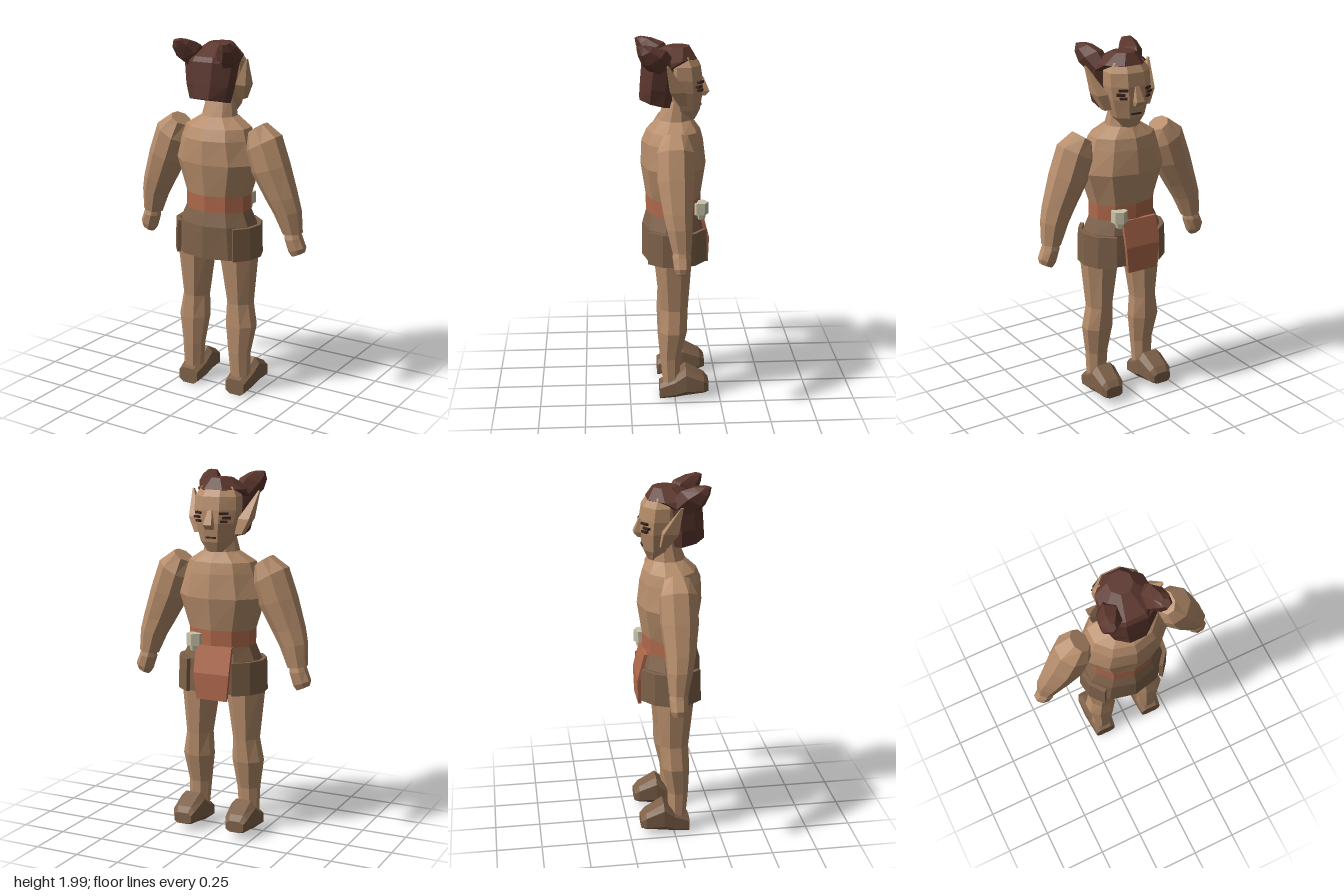
import * as THREE from 'three';

const material = (name, color) => {
  const m = new THREE.MeshStandardMaterial({ color });
  m.name = name;
  return m;
};

// Flat-faced copy of a geometry
function flat(geo) {
  const g = geo.index ? geo.toNonIndexed() : geo;
  g.computeVertexNormals();
  return g;
}

// Closed skin over rings [x, y, z, rx, rz, slopeX, slopeZ], listed from bottom to top.
// power < 1 makes the rings squarer.
function loft(rings, n = 8, power = 1) {
  const pos = [], index = [], fit = power === 1 ? 1 / Math.cos(Math.PI / n) : 1;
  const bend = (v) => Math.sign(v) * Math.abs(v) ** power * fit;
  for (const [x, y, z, rx, rz, sx = 0, sz = 0] of rings) {
    for (let i = 0; i < n; i++) {
      const a = ((i + 0.5) / n) * Math.PI * 2;
      const dx = rx * bend(Math.cos(a)), dz = rz * bend(Math.sin(a));
      pos.push(x + dx, y + sx * dx + sz * dz, z + dz);
    }
  }
  for (let r = 0; r < rings.length - 1; r++) {
    for (let i = 0; i < n; i++) {
      const a = r * n + i, b = r * n + (i + 1) % n;
      index.push(a, a + n, b, b, a + n, b + n);
    }
  }
  const top = (rings.length - 1) * n;
  for (let i = 1; i < n - 1; i++) {
    index.push(0, i, i + 1, top, top + i + 1, top + i);
  }
  const g = new THREE.BufferGeometry();
  g.setAttribute('position', new THREE.Float32BufferAttribute(pos, 3));
  g.setIndex(index);
  return flat(g);
}

// Moves every vertex by a rule
function reshape(geo, rule) {
  const p = geo.attributes.position, v = new THREE.Vector3();
  for (let i = 0; i < p.count; i++) {
    v.fromBufferAttribute(p, i);
    rule(v);
    p.setXYZ(i, v.x, v.y, v.z);
  }
  return flat(geo);
}

export function createModel() {
  const model = new THREE.Group();
  const skin = material('skin', 0xb68d6b);
  const hair = material('hair', 0x5c372e);
  const leather = material('leather', 0x7e6149);
  const cloth = material('cloth', 0xb0694c);
  const bone = material('bone', 0xc9c3a8);
  const dark = material('dark', 0x3a241c);

  const add = (name, geo, mat) => {
    const mesh = new THREE.Mesh(geo, mat);
    mesh.name = name;
    model.add(mesh);
    return mesh;
  };

  // Torso and neck
  add('torso', loft([
    [0, 1.15, 0, 0.18, 0.142],
    [0, 1.33, 0, 0.235, 0.168],
    [0, 1.46, 0.005, 0.20, 0.158],
    [0, 1.52, 0, 0.18, 0.138],
    [0, 1.575, -0.01, 0.095, 0.09],
    [0, 1.68, -0.02, 0.075, 0.06],
  ], 10), skin);

  // Waist sash and skirt
  add('sash', loft([[0, 1.065, 0, 0.18, 0.142], [0, 1.155, 0, 0.18, 0.143]], 10), cloth);
  add('skirt', loft([
    [0, 0.81, 0, 0.235, 0.165],
    [0, 0.99, 0, 0.213, 0.162],
    [0, 1.066, 0, 0.18, 0.142],
  ], 10), leather);

  // Hanging cloth, bent outward over the skirt
  add('loincloth', reshape(new THREE.BoxGeometry(0.21, 0.29, 0.02, 1, 2, 1), (v) => {
    const t = 0.5 - v.y / 0.29;
    v.x = v.x * (t > 0.9 ? 0.85 : 1) - 0.02;
    v.z -= t < 0.1 ? 0.145 : t < 0.6 ? 0.182 : 0.178;
    v.y += 0.925;
  }), cloth);

  // Belt charm
  add('charm', flat(new THREE.CylinderGeometry(0.045, 0.045, 0.065, 6)), bone)
    .position.set(0.1, 1.1, -0.14);
  add('charmTip', flat(new THREE.CylinderGeometry(0.03, 0.022, 0.035, 6)), bone)
    .position.set(0.1, 1.055, -0.145);

  // Head, leaning slightly forward, with a wedge nose
  add('head', loft([
    [0, 1.575, -0.08, 0.045, 0.035],
    [0, 1.63, -0.065, 0.085, 0.075],
    [0, 1.73, -0.06, 0.112, 0.095],
    [0, 1.80, -0.055, 0.122, 0.098],
    [0, 1.87, -0.05, 0.12, 0.092],
    [0, 1.92, -0.04, 0.09, 0.07],
  ]), skin);
  add('nose', loft([
    [0, 1.70, -0.155, 0.02, 0.015],
    [0, 1.725, -0.165, 0.024, 0.027],
    [0, 1.80, -0.148, 0.012, 0.012],
  ], 4), skin);
  add('mouth', new THREE.BoxGeometry(0.06, 0.009, 0.008), dark).position.set(0, 1.655, -0.146);

  // Hair: long at the back, cap on the crown
  add('hair', loft([
    [0, 1.665, 0.09, 0.105, 0.09, 0, 0.25],
    [0, 1.75, 0.085, 0.128, 0.09, 0, 0.1],
    [0, 1.87, 0.07, 0.145, 0.095, 0, 0.1],
    [0, 1.905, 0.015, 0.13, 0.135],
    [0, 1.965, -0.025, 0.06, 0.06],
  ]), hair);

  for (const s of [1, -1]) {
    const side = s > 0 ? 'left' : 'right';

    // Hair horns sweeping up and back
    add(side + 'HairHorn', loft([
      [s * 0.10, 1.86, 0.05, 0.045, 0.05, 0, -0.6],
      [s * 0.122, 1.925, 0.105, 0.056, 0.055, s * -0.2, -0.6],
      [s * 0.14, 1.965, 0.15, 0.042, 0.036, s * -0.2, -0.5],
      [s * 0.143, 1.988, 0.175, 0.022, 0.02, 0, -0.2],
    ], 6), hair);

    // Pointed ear
    add(side + 'Ear', loft([
      [s * 0.12, 1.67, -0.045, 0.02, 0.02],
      [s * 0.145, 1.75, -0.015, 0.032, 0.04],
      [s * 0.195, 1.895, 0.04, 0.004, 0.006],
    ], 4), skin);

    // Eye made of a brow bar and two lid bars
    for (const [y, w, out] of [[1.785, 0.05, 0], [1.762, 0.045, 0.012], [1.742, 0.04, 0]]) {
      const bar = add(side + 'Eye', new THREE.BoxGeometry(w, 0.012, 0.022), dark);
      bar.position.set(s * (0.072 + out), y, -0.138 + out * 0.6);
      bar.rotation.y = s * -0.5;
    }

    // Arm and hand
    add(side + 'Arm', loft([
      [s * 0.425, 1.09, -0.008, 0.07, 0.065, s * 0.2],
      [s * 0.392, 1.17, 0, 0.084, 0.075, s * 0.15],
      [s * 0.328, 1.32, 0.005, 0.096, 0.095, s * 0.3],
      [s * 0.282, 1.45, 0.005, 0.088, 0.095, s * 0.55],
      [s * 0.242, 1.53, 0.003, 0.042, 0.065, s * -0.2 + s * 0.9],
    ], 8), skin);
    add(side + 'Forearm', loft([
      [s * 0.452, 0.975, -0.018, 0.05, 0.048, s * 0.15],
      [s * 0.425, 1.09, -0.008, 0.07, 0.065, s * 0.2],
    ], 8), skin);
    add(side + 'Hand', loft([
      [s * 0.487, 0.862, -0.02, 0.033, 0.03, s * 0.45],
      [s * 0.48, 0.89, -0.02, 0.045, 0.042, s * 0.35],
      [s * 0.458, 0.95, -0.018, 0.045, 0.048, s * 0.15],
      [s * 0.452, 0.985, -0.018, 0.04, 0.04, s * 0.15],
    ], 8), skin);

    // Leg
    add(side + 'Leg', loft([
      [s * 0.155, 0.08, 0.02, 0.052, 0.045],
      [s * 0.15, 0.25, 0.025, 0.06, 0.055],
      [s * 0.152, 0.41, 0.01, 0.082, 0.075],
      [s * 0.143, 0.54, 0.005, 0.068, 0.075],
      [s * 0.135, 0.82, 0.01, 0.1, 0.1],
    ]), skin);

    // Boot, lofted from heel to toe
    const boot = loft([
      [s * 0.155, -0.085, 0.052, 0.062, 0.047],
      [s * 0.155, 0, 0.078, 0.072, 0.065],
      [s * 0.157, 0.06, 0.112, 0.078, 0.087],
      [s * 0.16, 0.16, 0.09, 0.07, 0.052],
      [s * 0.16, 0.187, 0.078, 0.055, 0.033],
    ], 8, 0.6);
    boot.rotateX(-Math.PI / 2);
    add(side + 'Boot', flat(boot), leather);

    // Hip guard bent around the side of the skirt
    add(side + 'HipGuard', reshape(new THREE.BoxGeometry(1.8, 0.18, 0.022, 4, 1, 1), (v) => {
      const a = s * (v.x + (s > 0 ? -0.11 : 0.11));
      const flare = v.z + (v.y < 0 ? 0.005 : 0);
      const angle = s > 0 ? a : Math.PI - a;
      v.x = Math.cos(angle) * (0.24 + flare);
      v.z = -Math.sin(-angle) * (0.192 + flare);
      v.y += 0.9;
    }), leather);
  }

  // Bent plates come out inside-turned, so they show both faces
  leather.side = THREE.DoubleSide;
  return model;
}
